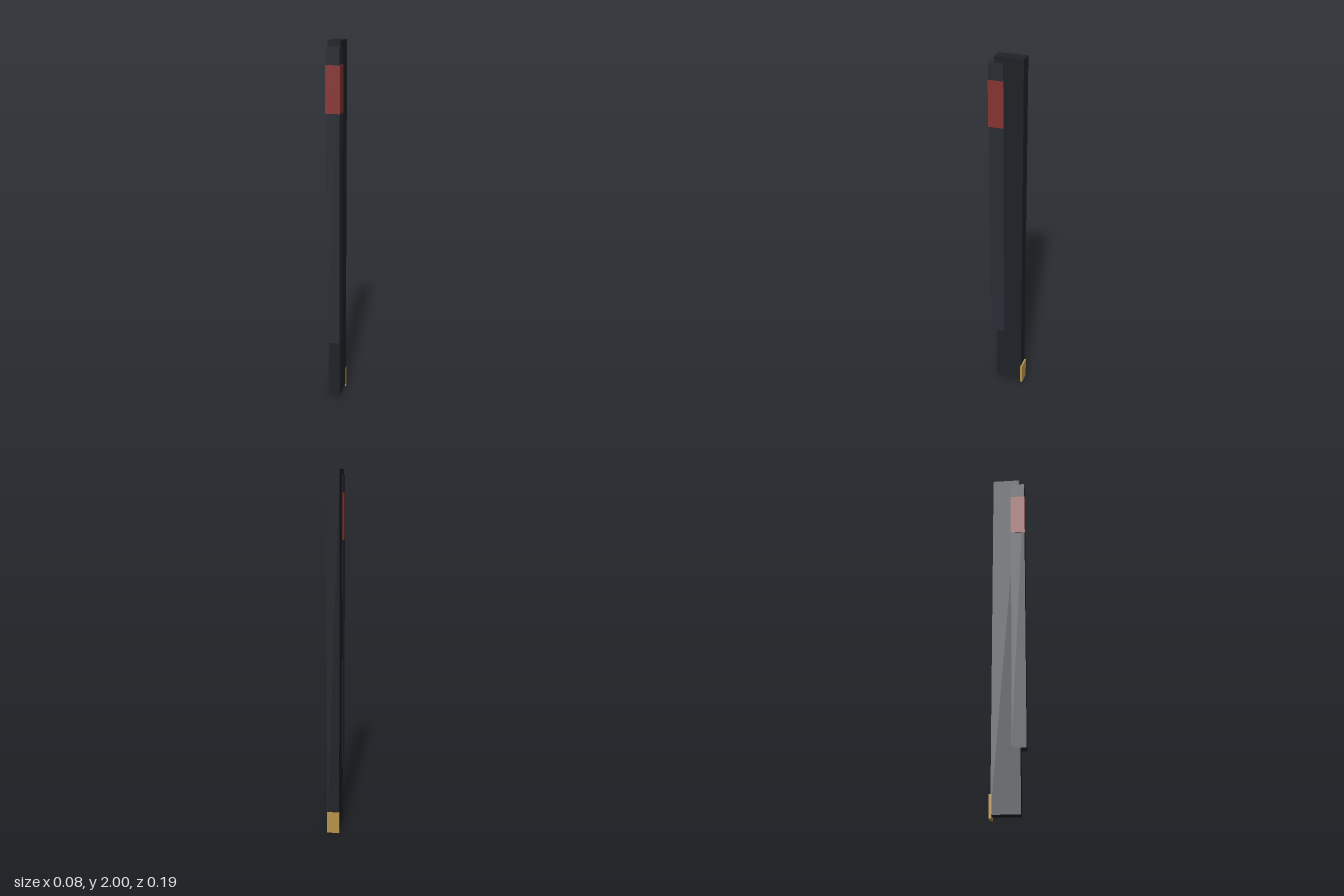
import * as THREE from 'three';

export function createModel() {
  const group = new THREE.Group();

  // box given by half width and its y and z ranges
  function block(name, color, halfWidth, y0, y1, z0, z1) {
    const mesh = new THREE.Mesh(
      new THREE.BoxGeometry(halfWidth * 2, y1 - y0, z1 - z0),
      new THREE.MeshStandardMaterial({ color })
    );
    mesh.name = name;
    mesh.position.set(0, (y0 + y1) / 2, (z0 + z1) / 2);
    group.add(mesh);
  }

  // main upright bar
  block('mainBar', 0x1e2226, 0.034, 0.018, 2, -0.088, 0.063);
  // cover strip wrapped round the front of the bar
  block('frontCover', 0x282c34, 0.036, 0.355, 1.97, 0.017, 0.094);
  // red band near the top of the cover
  block('redBand', 0x883333, 0.039, 1.635, 1.88, 0.015, 0.096);
  // brass plate at the foot of the back
  block('brassPlate', 0xb8934a, 0.035, 0, 0.122, -0.097, -0.083);

  return group;
}
